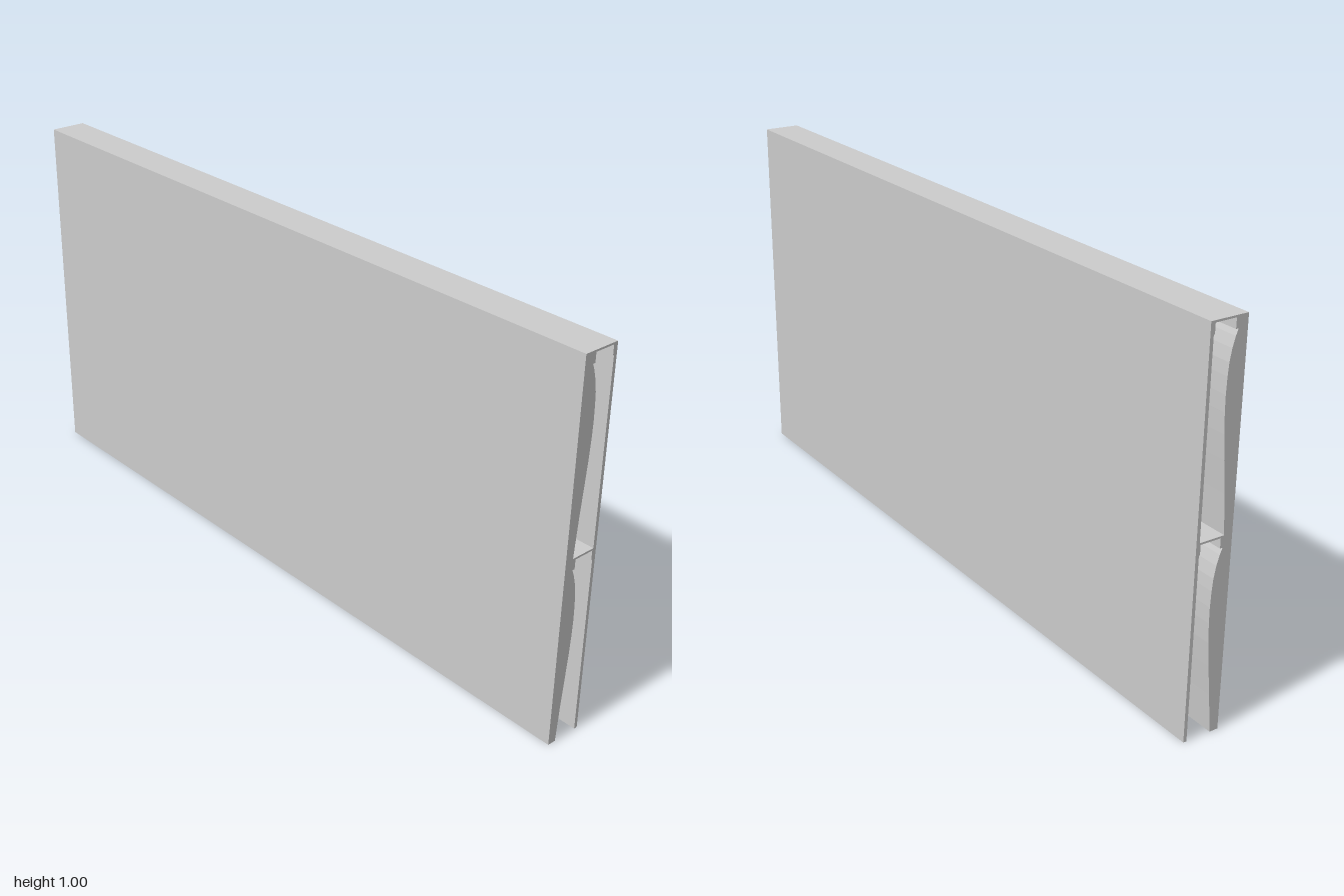
import * as THREE from 'three';

// Bulging inner face of the front skin: [height in cell, z]
const BULGE = [[0.47, 0.025], [0.455, 0.019], [0.43, 0.012], [0.4, 0.007], [0.37, 0.005],
  [0.33, 0.004], [0.29, 0.005], [0.24, 0.008], [0.18, 0.013], [0.1, 0.02], [0, 0.027]];

// Inner outline of one hollow cell, from its back wall over the top and down the front
function cell(base) {
  const pts = [[0, -0.041], [0.47, -0.041], [0.47, -0.038], [0.495, -0.038],
    [0.495, 0.018], [0.47, 0.018], ...BULGE];
  return pts.map(([y, z]) => new THREE.Vector2(-z, base + y));
}

export function createModel() {
  const group = new THREE.Group();
  const material = new THREE.MeshStandardMaterial({ color: 0xcccccc, flatShading: true });

  // Cross-section in (-z, y): lower cell open below, upper cell closed
  const shape = new THREE.Shape([
    new THREE.Vector2(0.05, 0), new THREE.Vector2(0.05, 1),
    new THREE.Vector2(-0.05, 1), new THREE.Vector2(-0.05, 0),
    ...cell(0).reverse(),
  ]);
  shape.holes.push(new THREE.Path(cell(0.5)));

  const geometry = new THREE.ExtrudeGeometry(shape, { depth: 2, bevelEnabled: false, steps: 1 });
  geometry.translate(0, 0, -1);
  geometry.rotateY(Math.PI / 2);

  // The bulges swell slightly toward the right end
  const p = geometry.attributes.position;
  for (let i = 0; i < p.count; i++) {
    const y = p.getY(i), z = p.getZ(i), h = y % 0.5;
    if (p.getX(i) < 0 && z > 0 && z < 0.024 && h > 0.05 && h < 0.46) {
      const swell = y < 0.5 ? 0.004 : 0.0015;
      p.setZ(i, z - swell * Math.sin((Math.PI * h) / 0.47));
    }
  }
  geometry.computeVertexNormals();

  const panel = new THREE.Mesh(geometry, material);
  panel.name = 'hollowPanel';
  group.add(panel);
  return group;
}
